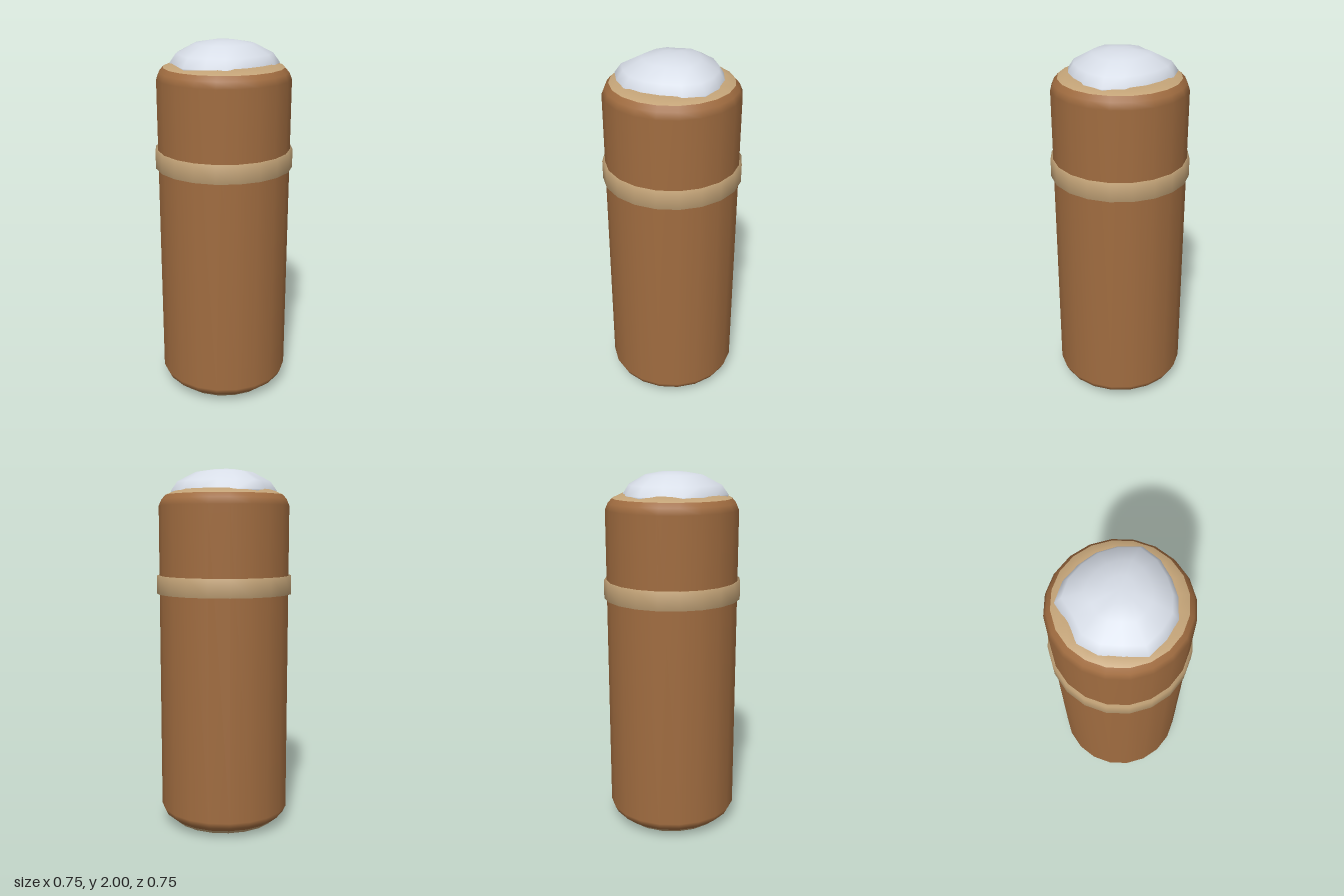
import * as THREE from 'three';

const SIDES = 20;

function lathe(name, profile, material) {
  const points = profile.map(([r, y]) => new THREE.Vector2(r, y));
  const mesh = new THREE.Mesh(new THREE.LatheGeometry(points, SIDES), material);
  mesh.name = name;
  return mesh;
}

// Irregular dome: rim radii around the circle, shrunk ring by ring to a peak
function snowGeometry() {
  const rim = [0.265, 0.27, 0.283, 0.285, 0.305, 0.277, 0.287, 0.29,
    0.265, 0.304, 0.285, 0.27, 0.272, 0.28, 0.298, 0.28];
  const rings = [[0.97, 1.865], [1, 1.88], [0.88, 1.93], [0.54, 1.982], [0.25, 1.996]];
  const n = rim.length;
  const positions = [];
  const index = [];
  for (const [scale, y] of rings) {
    rim.forEach((r, i) => {
      const a = (i / n) * Math.PI * 2;
      positions.push(Math.cos(a) * r * scale, y, Math.sin(a) * r * scale);
    });
  }
  positions.push(0, 2, 0);
  const peak = rings.length * n;
  for (let k = 0; k < rings.length; k++) {
    for (let i = 0; i < n; i++) {
      const a = k * n + i;
      const b = k * n + (i + 1) % n;
      if (k === rings.length - 1) index.push(b, a, peak);
      else index.push(b, a, a + n, b, a + n, b + n);
    }
  }
  const geometry = new THREE.BufferGeometry();
  geometry.setAttribute('position', new THREE.Float32BufferAttribute(positions, 3));
  geometry.setIndex(index);
  geometry.computeVertexNormals();
  return geometry;
}

export function createModel() {
  const bark = new THREE.MeshStandardMaterial({ name: 'brown wood', color: 0xa06c40 });
  const cut = new THREE.MeshStandardMaterial({ name: 'pale wood', color: 0xc4a478 });
  const white = new THREE.MeshStandardMaterial({ name: 'snow white', color: 0xdae0ea });

  const group = new THREE.Group();
  group.name = 'snowyPost';

  // Post with bevelled ends
  group.add(lathe('post', [[0.315, 0.04], [0.345, 0.065], [0.362, 0.1],
    [0.362, 1.8], [0.347, 1.835], [0.325, 1.86]], bark));

  // Pale cut ends
  group.add(lathe('baseEnd', [[0, 0], [0.25, 0.005], [0.29, 0.018], [0.315, 0.04]], cut));
  group.add(lathe('topEnd', [[0.325, 1.86], [0.27, 1.885], [0, 1.887]], cut));

  // Raised ring
  group.add(lathe('band', [[0.35, 1.32], [0.377, 1.32], [0.377, 1.42], [0.35, 1.42]], cut));

  // Snow cap
  const snow = new THREE.Mesh(snowGeometry(), white);
  snow.name = 'snowCap';
  group.add(snow);

  return group;
}
